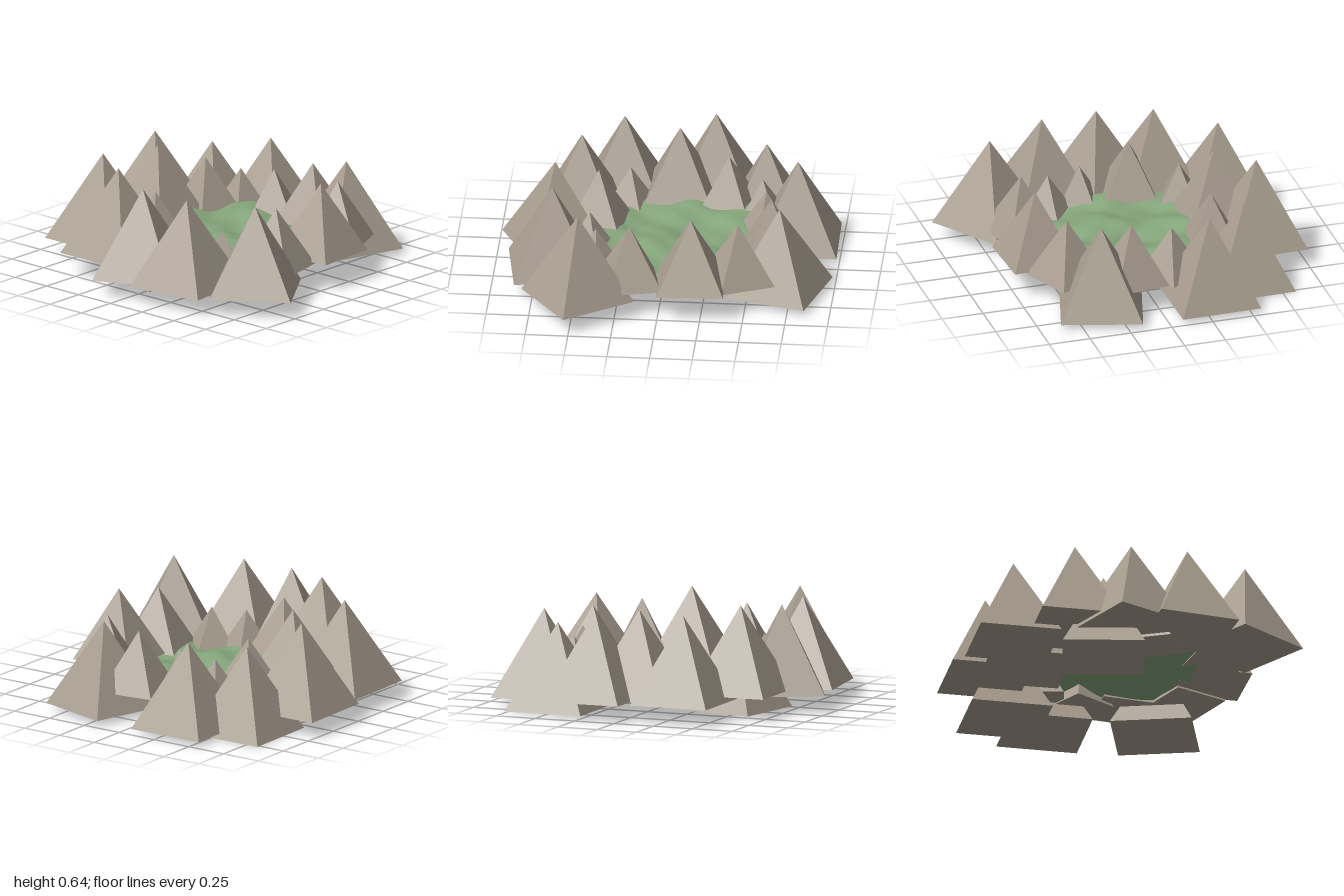
import * as THREE from 'three';

const rockMaterial = new THREE.MeshStandardMaterial({ color: 0xa89d8f, flatShading: true });
const grassMaterial = new THREE.MeshStandardMaterial({ color: 0x84a57b, side: THREE.DoubleSide });

// Each peak: centre x, centre z, base y, base width, turn in degrees
const outerPeaks = [
  [-0.31, -0.74, 0.03, 0.48, -1],
  [0.335, -0.685, 0.035, 0.48, 16],
  [-0.585, -0.535, 0, 0.48, -1],
  [-0.755, -0.225, 0.1, 0.48, -1],
  [-0.555, -0.03, 0.1, 0.48, 0],
  [-0.685, 0.305, 0.1, 0.48, -1],
  [-0.36, 0.53, 0.13, 0.48, -1],
  [-0.17, 0.415, 0, 0.48, 9.6],
  [-0.05, 0.66, 0.1, 0.48, -26],
  [0.285, 0.65, 0.1, 0.48, -8.3],
  [0.66, 0.47, 0.1, 0.48, -35],
];
const innerPeaks = [
  [0.585, -0.185, 0.165, 0.39, -3],
  [0.475, -0.455, 0.15, 0.335, -24],
  [0.13, -0.62, 0.15, 0.335, -7.5],
  [0.56, 0.175, 0.15, 0.335, -13],
  [-0.445, -0.325, 0.18, 0.29, 10],
  [-0.13, -0.57, 0.13, 0.28, -32],
  [-0.355, -0.53, 0.14, 0.24, 10],
  [-0.43, 0.25, 0.14, 0.25, 20],
  [0.12, 0.445, 0.08, 0.28, 24],
  [0.33, 0.39, 0.14, 0.22, 40],
];

// Square pyramid standing on its base, height in proportion to width
function makePeak([x, z, y, width, turn], name) {
  const height = width * 1.063;
  const geometry = new THREE.ConeGeometry(width / Math.SQRT2, height, 4);
  geometry.rotateY(Math.PI / 4);
  geometry.translate(0, height / 2, 0);
  const peak = new THREE.Mesh(geometry, rockMaterial);
  peak.name = name;
  peak.position.set(x, y, z);
  peak.rotation.y = -THREE.MathUtils.degToRad(turn);
  return peak;
}

// Rolling valley floor, its rim buried in the peaks
function makeValley() {
  const geometry = new THREE.PlaneGeometry(0.84, 0.94, 36, 40);
  geometry.rotateX(-Math.PI / 2);
  geometry.translate(0.02, 0, -0.07);
  const p = geometry.attributes.position;
  for (let i = 0; i < p.count; i++) {
    const x = p.getX(i), z = p.getZ(i);
    const waves = 0.014 * Math.sin(11 * x + 5 * z)
      + 0.012 * Math.sin(17 * z - 6 * x + 1)
      + 0.007 * Math.sin(27 * x + 2) * Math.cos(23 * z);
    p.setY(i, 0.185 - 0.05 * x + waves);
  }
  geometry.computeVertexNormals();
  const valley = new THREE.Mesh(geometry, grassMaterial);
  valley.name = 'valleyFloor';
  return valley;
}

export function createModel() {
  const model = new THREE.Group();
  model.name = 'mountainValley';
  for (const [name, list] of [['outerPeak', outerPeaks], ['innerPeak', innerPeaks]]) {
    const ring = new THREE.Group();
    ring.name = name + 's';
    list.forEach((peak, i) => ring.add(makePeak(peak, name + (i + 1))));
    model.add(ring);
  }
  model.add(makeValley());
  return model;
}
